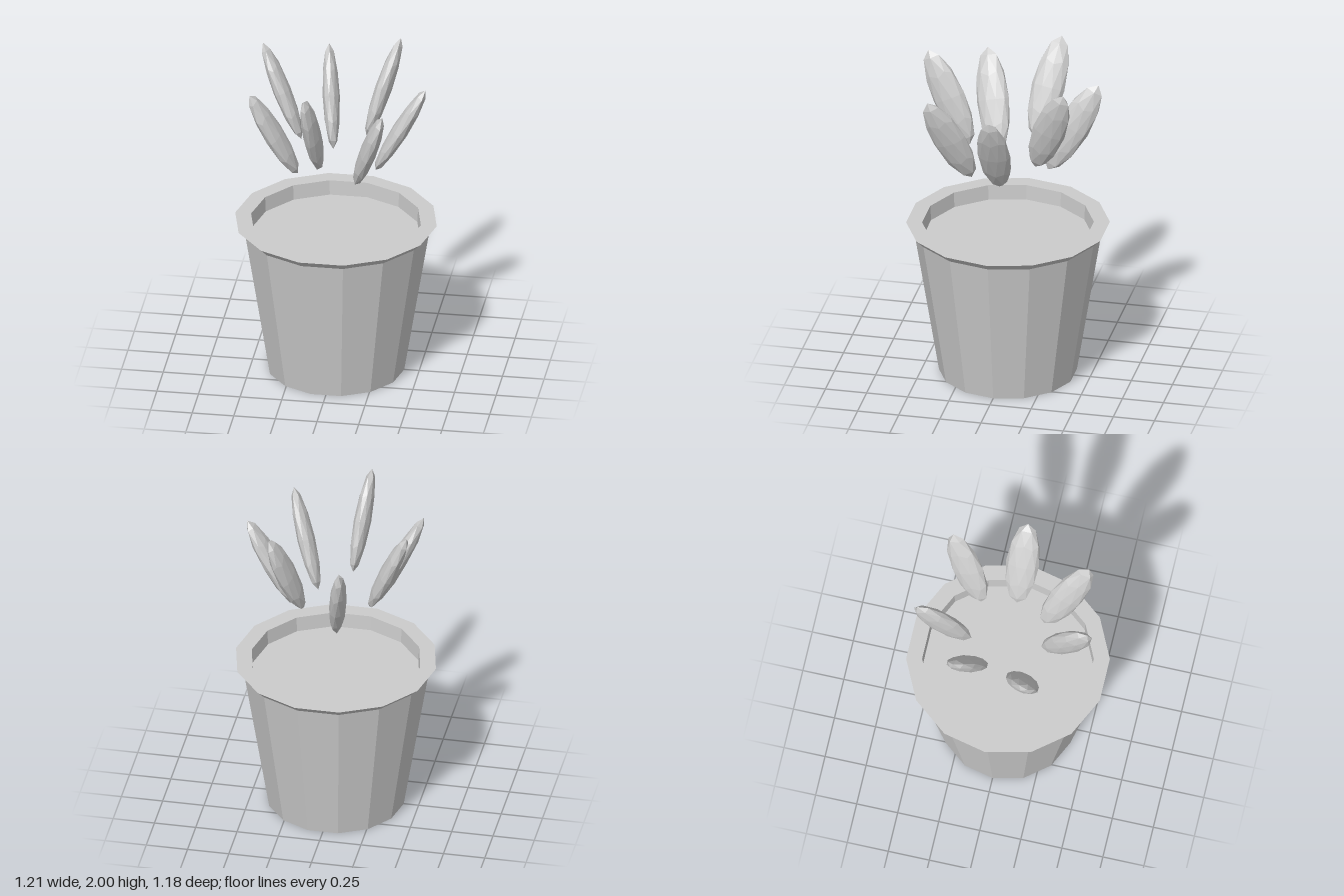
import * as THREE from 'three';

const grey = () => new THREE.MeshStandardMaterial({ color: 0xcccccc, flatShading: true });

// 14-sided surface of revolution with a corner on the x axis
function turned(name, profile) {
  const points = profile.map(([r, y]) => new THREE.Vector2(r, y));
  const mesh = new THREE.Mesh(new THREE.LatheGeometry(points, 14, Math.PI / 2), grey());
  mesh.name = name;
  return mesh;
}

// Faceted ball with a corner at each pole, stretched into a flat pointed leaf
function leafGeometry(thickness, length, width) {
  const geometry = new THREE.IcosahedronGeometry(1, 1);
  geometry.rotateZ(Math.atan(2 / (1 + Math.sqrt(5))));
  geometry.rotateY(Math.PI);
  geometry.scale(thickness / 2, length / 2, width / 2);
  return geometry;
}

export function createModel() {
  const model = new THREE.Group();
  model.name = 'pottedPlant';

  // Tapered pot: base, wall, flared rim and inner lip
  model.add(turned('pot', [
    [0, 0], [0.41, 0], [0.56, 0.925], [0.605, 0.97], [0.51, 0.97], [0.505, 0.875],
  ]));

  // Soil surface sunk below the rim
  model.add(turned('soil', [[0.507, 0.877], [0, 0.877]]));

  // Ring of leaves leaning outwards, alternately low and high
  const leaves = new THREE.Group();
  leaves.name = 'leaves';
  const geometry = leafGeometry(0.1, 0.63, 0.2);
  const count = 7;
  for (let i = 0; i < count; i++) {
    const angle = (i / count) * Math.PI * 2;
    const high = i % 2 === 1;
    const tilt = high ? 0.45 : 0.5;
    const cos = Math.cos(angle), sin = -Math.sin(angle);
    const leaf = new THREE.Mesh(geometry, grey());
    leaf.name = `leaf${i + 1}`;
    leaf.position.set(0.387 * cos, high ? 1.716 : 1.595, 0.387 * sin);
    leaf.rotation.set(sin * tilt, 0, -cos * tilt);
    leaves.add(leaf);
  }
  model.add(leaves);
  return model;
}
